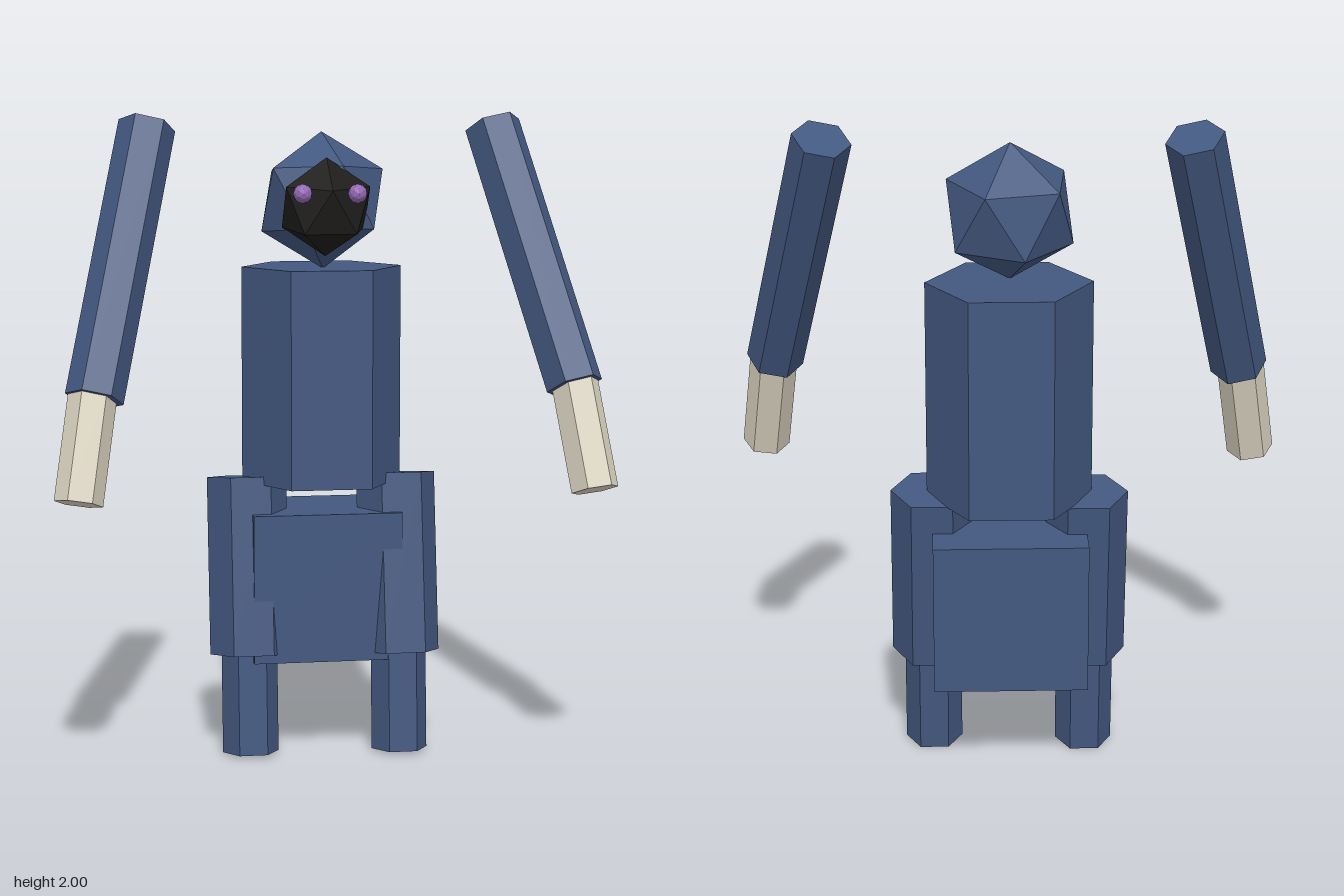
import * as THREE from 'three';

const paint = (name, color) => {
  const m = new THREE.MeshStandardMaterial({ color, flatShading: true });
  m.name = name;
  return m;
};

export function createModel() {
  const blue = paint('blue cloth', 0x435880);
  const bone = paint('pale hands', 0xdcd5c2);
  const black = paint('black face', 0x1e1d1c);
  const purple = paint('purple eyes', 0x9468b4);
  const model = new THREE.Group();
  model.name = 'figure';

  const add = (name, geometry, material, position = [0, 0, 0]) => {
    const mesh = new THREE.Mesh(geometry, material);
    mesh.name = name;
    mesh.position.set(...position);
    model.add(mesh);
    return mesh;
  };

  // Six-sided prism running from the top point to the bottom point, corners on x
  const limb = (name, top, bottom, radius, material) => {
    const a = new THREE.Vector3(...top);
    const b = new THREE.Vector3(...bottom);
    const axis = a.clone().sub(b);
    const geometry = new THREE.CylinderGeometry(radius, radius, axis.length(), 6, 1, false, Math.PI / 2);
    const mesh = add(name, geometry, material, a.add(b).multiplyScalar(0.5).toArray());
    mesh.quaternion.setFromUnitVectors(new THREE.Vector3(0, 1, 0), axis.normalize());
  };

  // Icosahedron standing on a corner, turned about y and tipped about x
  const gem = (name, radius, turn, tip, material, position) => {
    const geometry = new THREE.IcosahedronGeometry(radius, 0);
    geometry.rotateZ(Math.atan(2 / (1 + Math.sqrt(5))));
    geometry.rotateY(THREE.MathUtils.degToRad(turn));
    geometry.rotateX(tip);
    add(name, geometry, material, position);
  };

  // Head, face and eyes
  gem('head', 0.21, 30, -0.08, blue, [0.002, 1.735, -0.112]);
  gem('face', 0.15, 18, 0.1, black, [-0.008, 1.72, 0.03]);
  add('rightEye', new THREE.IcosahedronGeometry(0.029, 1), purple, [-0.096, 1.765, 0.15]);
  add('leftEye', new THREE.IcosahedronGeometry(0.029, 1), purple, [0.067, 1.765, 0.163]);

  // Torso and hips
  limb('torso', [0.005, 1.53, -0.145], [0.005, 0.86, -0.147], 0.25, blue);
  add('hips', new THREE.BoxGeometry(0.465, 0.465, 0.36), blue, [0.006, 0.538, -0.184]);

  // Arms and hands
  limb('leftArm', [0.545, 1.963, -0.155], [0.725, 1.185, 0.21], 0.088, blue);
  limb('rightArm', [-0.53, 1.963, -0.17], [-0.72, 1.165, 0.155], 0.088, blue);
  limb('leftHand', [0.727, 1.2, 0.2], [0.768, 0.88, 0.305], 0.073, bone);
  limb('rightHand', [-0.722, 1.19, 0.145], [-0.775, 0.865, 0.235], 0.073, bone);

  // Legs
  limb('leftThigh', [0.24, 0.877, -0.145], [0.242, 0.32, -0.065], 0.125, blue);
  limb('rightThigh', [-0.23, 0.872, -0.16], [-0.23, 0.322, -0.09], 0.125, blue);
  limb('leftShin', [0.24, 0.34, -0.08], [0.24, 0.008, -0.055], 0.088, blue);
  limb('rightShin', [-0.23, 0.34, -0.105], [-0.23, 0.008, -0.08], 0.088, blue);

  return model;
}
